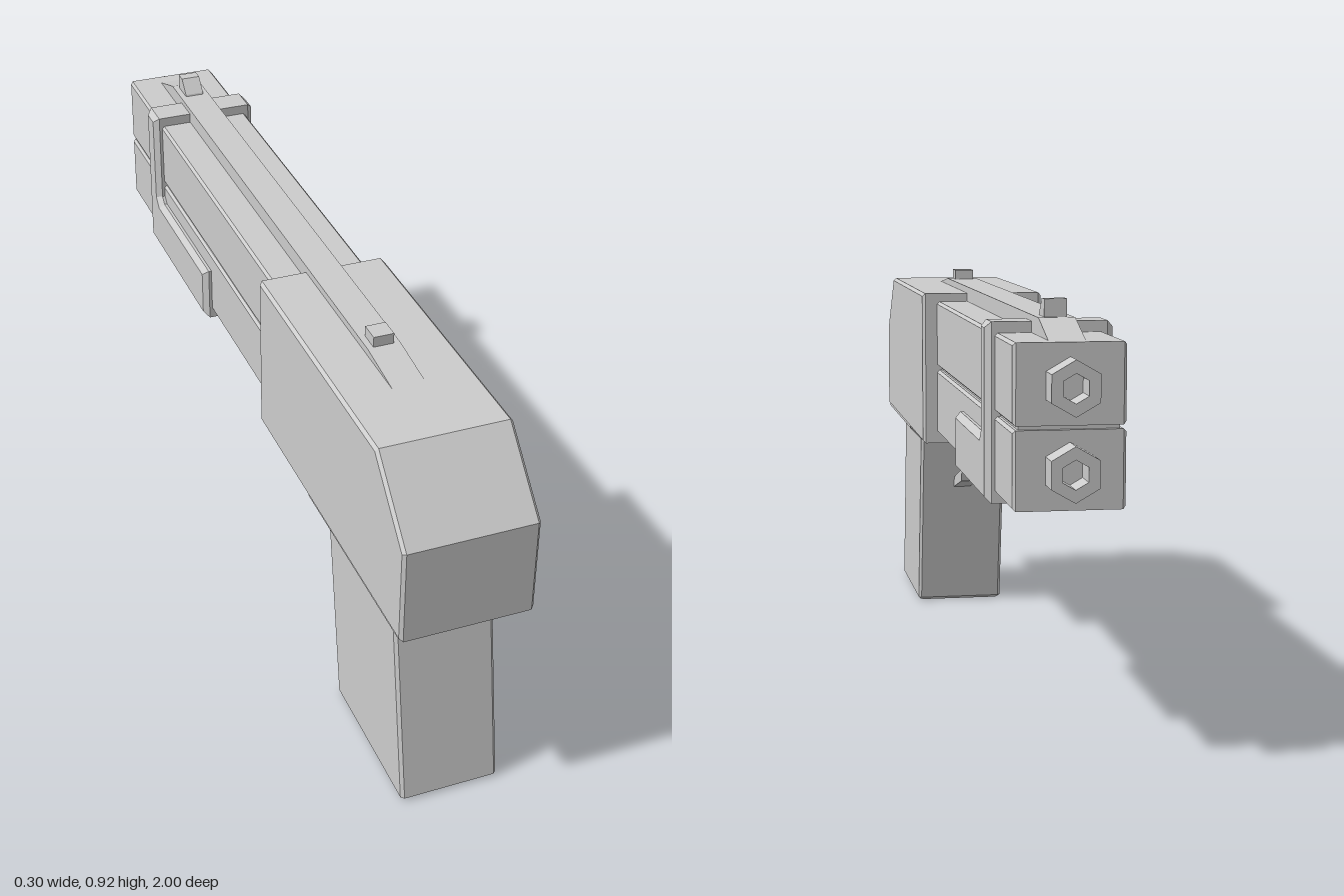
import * as THREE from 'three';

const material = new THREE.MeshStandardMaterial({ color: 0xcccccc, flatShading: true });

// Side outline given as [z, y] points, extruded across x with chamfered edges
function profile(points, halfWidth, bevel = 0) {
  const shape = new THREE.Shape(points.map(([z, y]) => new THREE.Vector2(z, y)));
  const depth = 2 * (halfWidth - bevel);
  const geo = new THREE.ExtrudeGeometry(shape, {
    depth, bevelEnabled: bevel > 0, bevelSize: bevel, bevelThickness: bevel,
    bevelOffset: -bevel, bevelSegments: 1,
  });
  return geo.translate(0, 0, -depth / 2).rotateY(-Math.PI / 2);
}

const rect = (z0, z1, y0, y1) => [[z0, y0], [z1, y0], [z1, y1], [z0, y1]];

// Loft through chamfered rectangles, listed from top to bottom
function loft(sections) {
  const n = 8, pos = [], idx = [];
  for (const { y, z0, z1, w, c } of sections) {
    const ring = [[w, z0 + c], [w, z1 - c], [w - c, z1], [c - w, z1],
      [-w, z1 - c], [-w, z0 + c], [c - w, z0], [w - c, z0]];
    ring.forEach(([x, z]) => pos.push(x, y, z));
  }
  for (let s = 0; s < sections.length - 1; s++) {
    for (let i = 0; i < n; i++) {
      const a = s * n + i, b = s * n + (i + 1) % n;
      idx.push(a, b, a + n, b, b + n, a + n);
    }
  }
  const last = (sections.length - 1) * n;
  for (let i = 1; i < n - 1; i++) {
    idx.push(0, i + 1, i); // top cap
    idx.push(last, last + i, last + i + 1); // bottom cap
  }
  const geo = new THREE.BufferGeometry();
  geo.setAttribute('position', new THREE.Float32BufferAttribute(pos, 3));
  geo.setIndex(idx);
  const flat = geo.toNonIndexed();
  flat.computeVertexNormals();
  return flat;
}

// Hexagon points with a corner at the top
function hexagon(r) {
  return Array.from({ length: 6 }, (_, i) => {
    const a = Math.PI / 2 + i * Math.PI / 3;
    return new THREE.Vector2(r * Math.cos(a), r * Math.sin(a));
  });
}

export function createModel() {
  const group = new THREE.Group();
  const add = (name, geo) => {
    const mesh = new THREE.Mesh(geo, material);
    mesh.name = name;
    group.add(mesh);
    return mesh;
  };

  // Body with sloped rear corner
  add('receiver', profile(
    [[0.18, 0.493], [1, 0.493], [1, 0.715], [0.85, 0.865], [0.18, 0.865]], 0.148, 0.007));

  // Slanted grip flaring into the receiver
  add('grip', loft([
    { y: 0.5, z0: 0.475, z1: 0.995, w: 0.145, c: 0.006 },
    { y: 0.49, z0: 0.48, z1: 0.99, w: 0.145, c: 0.006 },
    { y: 0.455, z0: 0.519, z1: 0.888, w: 0.112, c: 0.007 },
    { y: 0.007, z0: 0.594, z1: 0.963, w: 0.112, c: 0.007 },
    { y: 0, z0: 0.601, z1: 0.956, w: 0.105, c: 0.007 },
  ]));

  // Two stacked square barrels, joined by a narrower core
  add('upperBarrel', profile(rect(-0.94, 0.25, 0.684, 0.845), 0.112, 0.006));
  add('lowerBarrel', profile(rect(-0.94, 0.25, 0.518, 0.676), 0.112, 0.006));
  add('barrelCore', profile(rect(-0.93, 0.25, 0.6, 0.75), 0.1));

  // Hollow hexagonal muzzles
  for (const [name, y] of [['upperMuzzle', 0.762], ['lowerMuzzle', 0.597]]) {
    const shape = new THREE.Shape(hexagon(0.055));
    shape.holes.push(new THREE.Path(hexagon(0.029)));
    const geo = new THREE.ExtrudeGeometry(shape, { depth: 0.07, bevelEnabled: false });
    add(name, geo).position.set(0, y, -1);
  }

  // L-shaped fore grip whose strap wraps over the barrels
  add('foreGrip', profile([
    [-0.725, 0.497], [-0.275, 0.497], [-0.275, 0.63], [-0.64, 0.63],
    [-0.655, 0.645], [-0.655, 0.868], [-0.725, 0.868]], 0.132, 0.013));

  // Top rail and sights
  add('topRail', profile(
    [[-0.92, 0.84], [0.7, 0.84], [0.7, 0.862], [0.54, 0.881], [-0.8, 0.881]], 0.037));
  add('rearSight', profile(rect(0.49, 0.537, 0.87, 0.905), 0.023));
  add('frontSight', profile(
    [[-0.787, 0.87], [-0.725, 0.87], [-0.73, 0.885], [-0.76, 0.917], [-0.787, 0.917]], 0.023));

  // Bent trigger
  add('trigger', profile([
    [0.36, 0.51], [0.395, 0.36], [0.545, 0.32], [0.53, 0.35], [0.42, 0.383], [0.39, 0.51]], 0.022));

  return group;
}
